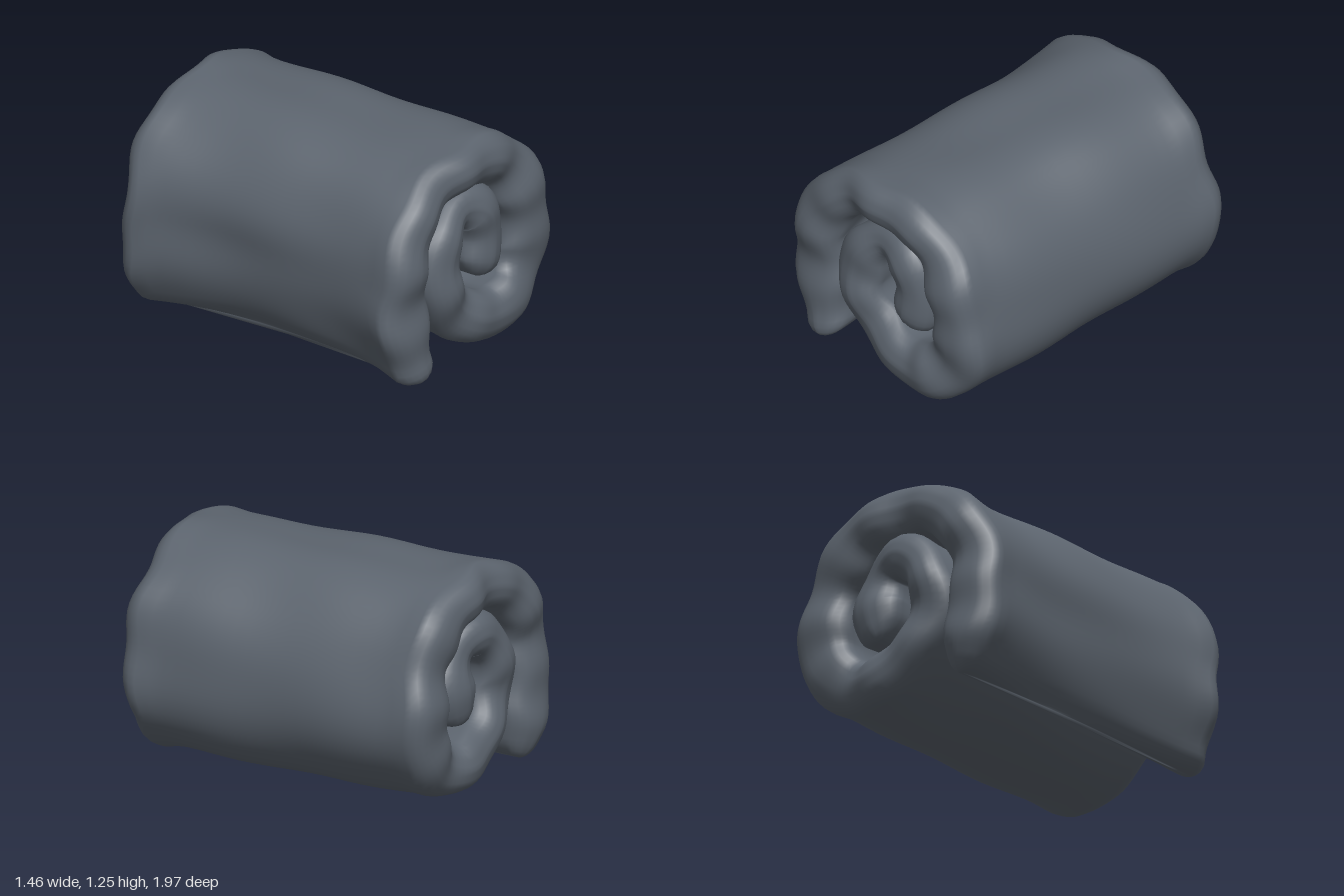
import * as THREE from 'three';

// Centre line of the rolled cloth, tail to core: x, y, half thickness
const PATH = [
  [-0.45, 0.015, 0.11], [-0.485, 0.13, 0.145], [-0.53, 0.34, 0.178], [-0.545, 0.54, 0.172], [-0.53, 0.74, 0.155],
  [-0.42, 0.93, 0.14], [-0.22, 1.07, 0.13], [0.03, 1.1, 0.13], [0.27, 1.05, 0.15],
  [0.45, 0.87, 0.17], [0.535, 0.62, 0.175], [0.53, 0.4, 0.182], [0.41, 0.22, 0.168],
  [0.22, 0.15, 0.148], [0.0, 0.21, 0.145], [-0.15, 0.34, 0.145], [-0.225, 0.53, 0.138],
  [-0.17, 0.73, 0.128], [-0.03, 0.845, 0.105], [0.11, 0.81, 0.115], [0.185, 0.66, 0.15],
  [0.175, 0.5, 0.14], [0.14, 0.39, 0.1],
];
const SIDE = 20, CORNER = 5, STEPS = 130;

// Unit ring of a rounded rectangle: core corner (c, z) plus rounding direction (a, b)
function makeRing() {
  const ring = [];
  for (const s of [1, -1]) {
    for (let i = 0; i < SIDE; i++) ring.push({ c: s, z: s * (-1 + 2 * i / SIDE), a: s, b: 0 });
    for (let i = 0; i <= CORNER; i++) {
      const t = i / CORNER * Math.PI / 2;
      ring.push({ c: s, z: s, a: s * Math.cos(t), b: s * Math.sin(t) });
    }
    ring.push({ c: 0, z: s, a: 0, b: s * 1.06 });
    for (let i = 0; i < CORNER; i++) {
      const t = Math.PI / 2 * (1 + i / CORNER);
      ring.push({ c: -s, z: s, a: s * Math.cos(t), b: s * Math.sin(t) });
    }
  }
  return ring;
}

function makeRoll() {
  const curve = new THREE.CatmullRomCurve3(PATH.map(p => new THREE.Vector3(...p)));
  curve.arcLengthDivisions = 600;
  const ring = makeRing(), M = ring.length;
  const stations = [0, 0.0008, 0.003];
  for (let i = 1; i < STEPS; i++) stations.push(i / STEPS);
  stations.push(0.997, 0.9992, 1);
  const pos = [], index = [];

  for (const u of stations) {
    const p = curve.getPointAt(u), t = curve.getTangentAt(u);
    const len = Math.hypot(t.x, t.y), nx = -t.y / len, ny = t.x / len;
    // Round off both free edges of the cloth
    const e = Math.min(1, Math.min(u, 1 - u) / 0.02);
    const taper = Math.max(0.12, Math.sqrt(1 - (1 - e) ** 2));
    const half = p.z * taper, r = Math.min(0.125, half * 0.85);
    const tail = 1 - THREE.MathUtils.smoothstep(u, 0.1, 0.25);
    const core = THREE.MathUtils.smoothstep(u, 0.7, 1);

    for (const k of ring) {
      // Uneven rolled ends
      const s = Math.sign(k.z || 1);
      const L = 0.955 - 0.035 * core - 0.06 * (1 - taper)
        + 0.016 * Math.sin(u * 41 + s) + 0.012 * Math.sin(u * 83 + 2 * s);
      const z = (L - r) * k.z + r * k.b;
      // Soft folds, a fuller rim and a pinched middle on the tail
      const pinch = Math.max(0, 1 - (z / 0.85) ** 2);
      const rim = Math.exp(-(((Math.abs(z) - 0.86) / 0.09) ** 2));
      const fold = 0.006 * Math.sin(z * 8 + u * 9) + 0.006 * Math.sin(u * 55 + z * 3)
        + rim * 0.01 * Math.sin(u * 70 + s * 2);
      const off = (half - r) * k.c + r * k.a + k.a * taper * (fold + 0.012 * rim - 0.008)
        - tail * pinch * 0.1 * (1 + k.c) / 2 * taper;
      const lift = 0.03 * tail * pinch;
      pos.push(p.x + nx * off, Math.max(0, p.y + ny * off + lift), z);
    }
  }

  // Skin between neighbouring rings, then close both edges
  const N = stations.length;
  for (let i = 0; i < N - 1; i++) for (let j = 0; j < M; j++) {
    const k = (j + 1) % M, a = i * M + j, b = i * M + k;
    index.push(a, b, b + M, a, b + M, a + M);
  }
  for (const [row, flip] of [[0, true], [N - 1, false]]) {
    const mid = new THREE.Vector3();
    for (let j = 0; j < M; j++) mid.add(new THREE.Vector3().fromArray(pos, (row * M + j) * 3));
    mid.divideScalar(M);
    const c = pos.length / 3;
    pos.push(mid.x, mid.y, mid.z);
    for (let j = 0; j < M; j++) {
      const a = row * M + j, b = row * M + (j + 1) % M;
      index.push(c, flip ? b : a, flip ? a : b);
    }
  }

  const geo = new THREE.BufferGeometry();
  geo.setAttribute('position', new THREE.Float32BufferAttribute(pos, 3));
  geo.setIndex(index);
  geo.computeVertexNormals();
  return geo;
}

export function createModel() {
  const group = new THREE.Group();
  group.name = 'rolledBlanket';
  const cloth = new THREE.MeshStandardMaterial({ color: 0x5c646e });
  cloth.name = 'slate grey cloth';
  const roll = new THREE.Mesh(makeRoll(), cloth);
  roll.name = 'blanketRoll';
  group.add(roll);
  return group;
}
